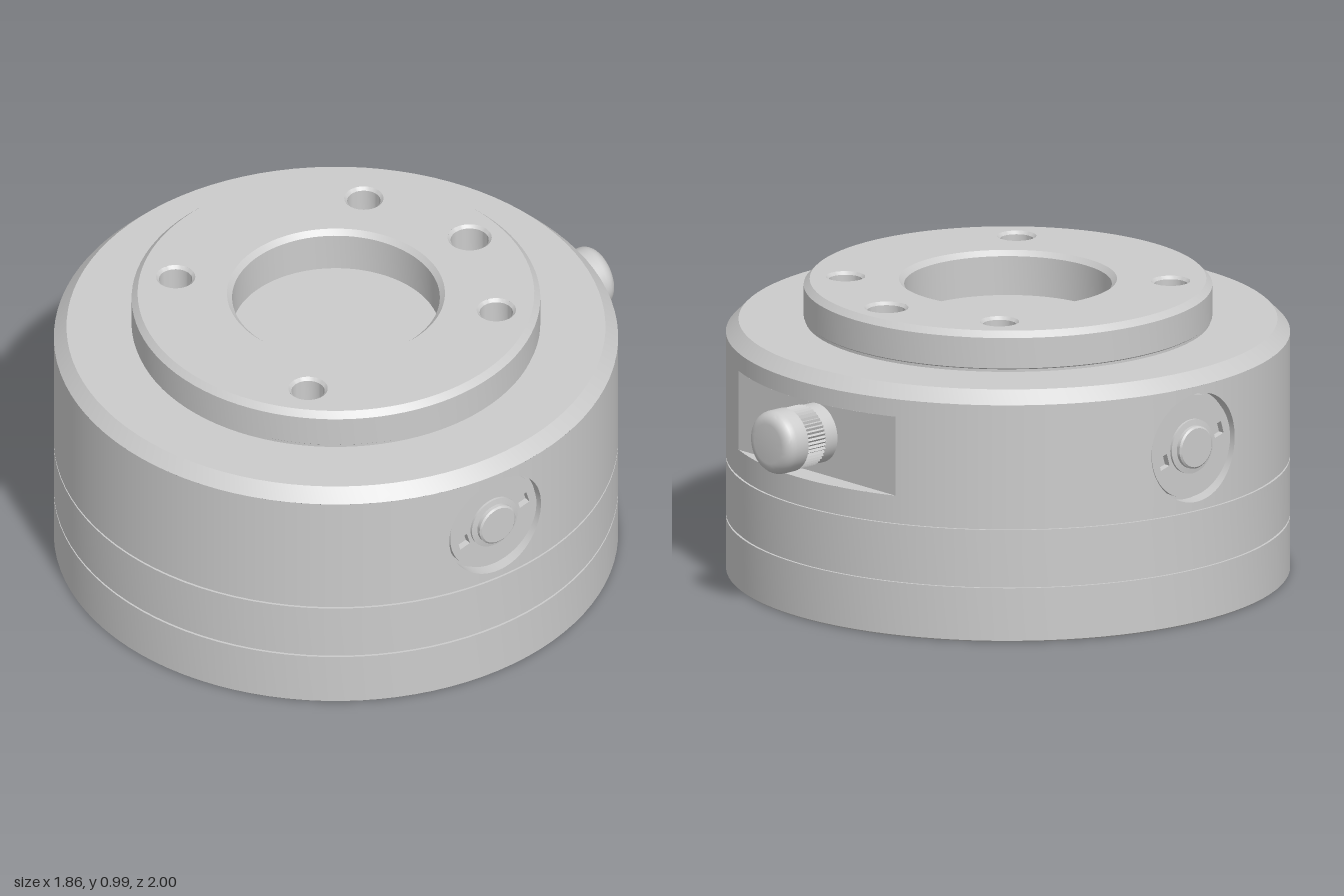
import * as THREE from 'three';
import { toCreasedNormals } from 'three/addons/utils/BufferGeometryUtils.js';
import { ParametricGeometry } from 'three/addons/geometries/ParametricGeometry.js';

const R = 0.932;                        // body radius
const BAND = [0.39, 0.81];              // upper wall, interrupted by ports and notch
const PORT = { y: 0.6, r: 0.185, half: 0.21, floor: 0.88 };
const NOTCH = { bottom: 0.48, top: 0.75, z: 0.8475 };
const notchAngle = Math.acos(NOTCH.z / R);
const portAngle = PORT.half / R;

const grey = new THREE.MeshStandardMaterial({ color: 0xcccccc });
const greyDouble = new THREE.MeshStandardMaterial({ color: 0xcccccc, side: THREE.DoubleSide });

function add(parent, name, geometry, material = grey) {
  const mesh = new THREE.Mesh(geometry, material);
  mesh.name = name;
  parent.add(mesh);
  return mesh;
}

// Turned part with sharp edges kept; profile is a list of [radius, height]
function turned(profile, segments = 96) {
  const points = profile.map(([r, y]) => new THREE.Vector2(r, y));
  return toCreasedNormals(new THREE.LatheGeometry(points, segments), 0.45);
}

function circlePath(x, y, r) {
  return new THREE.Path().absarc(x, y, r, 0, Math.PI * 2, true);
}

// Curved piece of the outer wall between two heights and two angles
function wall(parent, y0, y1, from, to) {
  const segments = Math.ceil((to - from) / 0.065);
  const g = new THREE.CylinderGeometry(R, R, y1 - y0, segments, 1, true, from, to - from);
  add(parent, 'bodyWall', g.translate(0, (y0 + y1) / 2, 0));
}

// Round side port, built facing +z
function createPort() {
  const port = new THREE.Group();
  const rim = (t, out) => {
    const x = PORT.r * Math.cos(t);
    return out.set(x, PORT.y + PORT.r * Math.sin(t), Math.sqrt(R * R - x * x));
  };
  // wall patch running from a square border to the round opening
  add(port, 'portSurround', new ParametricGeometry((u, v, out) => {
    const t = u * Math.PI * 2, c = Math.cos(t), s = Math.sin(t);
    const m = PORT.half / Math.max(Math.abs(c), Math.abs(s));
    const a = THREE.MathUtils.lerp(m * c / R, Math.asin(PORT.r * c / R), v);
    out.set(R * Math.sin(a), PORT.y + THREE.MathUtils.lerp(m * s, PORT.r * s, v), R * Math.cos(a));
  }, 64, 4));
  add(port, 'portBore', new ParametricGeometry((u, v, out) => {
    rim(u * Math.PI * 2, out);
    out.z = THREE.MathUtils.lerp(out.z, PORT.floor, v);
  }, 64, 1));
  add(port, 'portFloor', new THREE.CircleGeometry(PORT.r, 64)).position.set(0, PORT.y, PORT.floor);

  // slotted cover with two small wrench slots
  const cover = new THREE.Shape().absarc(0, 0, 0.174, 0, Math.PI * 2);
  for (const s of [-1, 1]) {
    const slot = [[0.105, -0.022], [0.105, 0.022], [0.145, 0.022], [0.145, -0.022]];
    cover.holes.push(new THREE.Path(slot.map(([x, y]) => new THREE.Vector2(s * x, s * y))));
  }
  const disc = add(port, 'portCover', new THREE.ExtrudeGeometry(cover, {
    depth: 0.023, bevelEnabled: false, curveSegments: 48,
  }));
  disc.position.set(0, PORT.y, PORT.floor);
  disc.rotation.z = 0.28;

  // raised centre button
  const boss = add(port, 'portButton', turned([
    [0.092, 0], [0.092, 0.008], [0.072, 0.011], [0.072, 0.024], [0.066, 0.029], [0, 0.029],
  ], 48));
  boss.rotation.x = Math.PI / 2;
  boss.position.set(0, PORT.y, 0.903);
  return port;
}

// Knurled knob, axis along +y from its base
function createKnob() {
  const knob = new THREE.Group();
  add(knob, 'knobStem', turned([[0.1, 0], [0.1, 0.052], [0.094, 0.056], [0.09, 0.056]], 48));
  const teeth = [];
  for (let i = 0; i < 96; i++) {
    const r = i % 2 ? 0.097 : 0.104, a = i / 96 * Math.PI * 2;
    teeth.push(new THREE.Vector2(r * Math.cos(a), r * Math.sin(a)));
  }
  const grip = new THREE.ExtrudeGeometry(new THREE.Shape(teeth), { depth: 0.083, bevelEnabled: false });
  add(knob, 'knobGrip', grip.rotateX(-Math.PI / 2).translate(0, 0.053, 0));
  const cap = [[0.09, 0.134], [0.107, 0.134]];
  for (let i = 0; i <= 6; i++) {
    const a = i / 6 * Math.PI / 2;
    cap.push([0.067 + 0.04 * Math.cos(a), 0.18 + 0.04 * Math.sin(a)]);
  }
  cap.push([0, 0.22]);
  add(knob, 'knobCap', turned(cap, 48));
  return knob;
}

export function createModel() {
  const model = new THREE.Group();
  model.name = 'roundHousing';
  const body = new THREE.Group();
  body.name = 'body';
  body.position.z = 0.0675;
  model.add(body);

  // base and middle ring with thin seams
  const g = R - 0.008;
  add(body, 'baseRings', turned([
    [0, 0], [R - 0.004, 0], [R, 0.004], [R, 0.184], [g, 0.184], [g, 0.191], [R, 0.191],
    [R, 0.383], [g, 0.383], [g, 0.39], [R, 0.39],
  ]));

  // upper wall around ports and rear notch
  const q = Math.PI / 2;
  wall(body, ...BAND, -q + portAngle, q - portAngle);
  wall(body, ...BAND, q + portAngle, Math.PI - notchAngle);
  wall(body, ...BAND, Math.PI + notchAngle, 3 * q - portAngle);
  wall(body, BAND[0], NOTCH.bottom, Math.PI - notchAngle, Math.PI + notchAngle);
  wall(body, NOTCH.top, BAND[1], Math.PI - notchAngle, Math.PI + notchAngle);

  // rear notch: flat back and two ledges
  const height = NOTCH.top - NOTCH.bottom, middle = (NOTCH.top + NOTCH.bottom) / 2;
  const flat = new THREE.PlaneGeometry(2 * R * Math.sin(notchAngle), height).rotateY(Math.PI);
  add(body, 'notchBack', flat).position.set(0, middle, -NOTCH.z);
  const arc = [];
  for (let i = 0; i <= 16; i++) {
    const a = Math.PI + notchAngle * (i / 8 - 1);
    arc.push(new THREE.Vector2(R * Math.sin(a), R * Math.cos(a)));
  }
  for (const y of [NOTCH.bottom, NOTCH.top]) {
    const ledge = new THREE.ShapeGeometry(new THREE.Shape(arc)).rotateX(Math.PI / 2);
    add(body, 'notchLedge', ledge, greyDouble).position.y = y;
  }

  // side ports
  for (const side of [-1, 1]) {
    const port = createPort();
    port.name = side > 0 ? 'leftPort' : 'rightPort';
    port.rotation.y = side * q;
    body.add(port);
  }

  // rear knob
  const knob = createKnob();
  knob.name = 'knob';
  knob.rotation.x = -q;
  knob.position.set(0, 0.618, -NOTCH.z);
  body.add(knob);

  // chamfered shoulder and flange
  add(body, 'shoulderAndFlange', turned([
    [R, 0.81], [0.89, 0.853], [0.67, 0.853], [0.67, 0.862], [0.675, 0.866], [0.675, 0.97], [0.655, 0.99],
  ]));

  // flange face with centre recess and bolt holes
  const holes = [[0, 0.54, 0.073], ...[[1, 1], [-1, 1], [1, -1], [-1, -1]].map(([x, y]) => [x * 0.38, y * 0.38, 0.065])];
  const face = new THREE.Shape().absarc(0, 0, 0.655, 0, Math.PI * 2);
  face.holes.push(circlePath(0, 0, 0.36), ...holes.map(([x, y, r]) => circlePath(x, y, r)));
  add(body, 'flangeFace', new THREE.ShapeGeometry(face, 48).rotateX(-q)).position.y = 0.99;
  add(body, 'centreRecess', turned([[0.36, 0.99], [0.343, 0.973], [0.343, 0.84], [0, 0.84]]));
  for (const [x, y, r] of holes) {
    const hole = turned([[r, 0.99], [r - 0.01, 0.98], [r - 0.01, 0.88], [0, 0.88]], 48);
    add(body, 'boltHole', hole).position.set(x, 0, -y);
  }
  return model;
}
